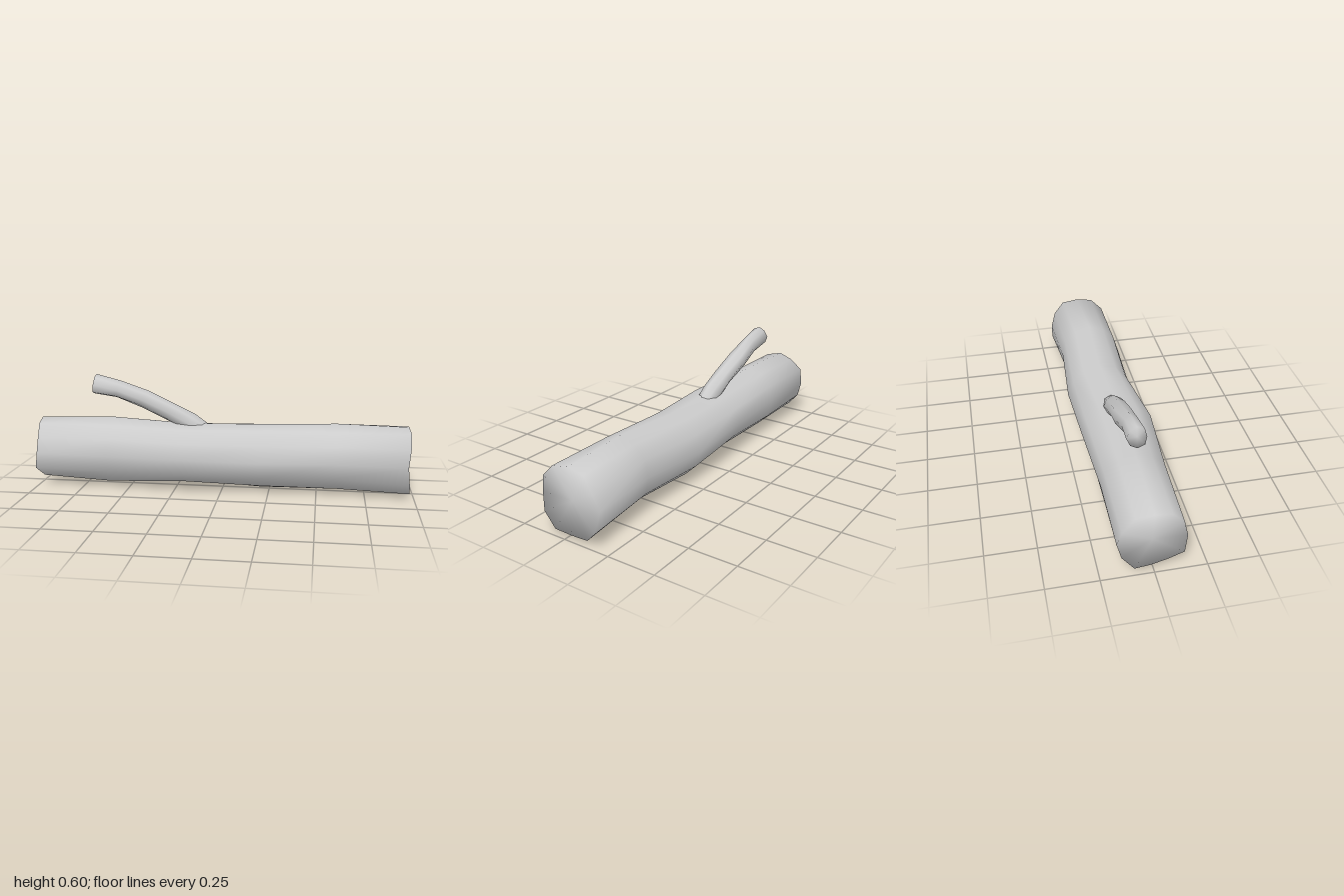
import * as THREE from 'three';

const material = new THREE.MeshStandardMaterial({ color: 0xcccccc });

// Skin a row of rings running towards +x, closed by a fan at each end.
// Ring: x, y, z centre, ry, rz radii, tilt; optional scale[] and shift[] per corner.
function loft(name, rings, sides, endDent, wobble) {
  const positions = [], index = [];
  rings.forEach((r, i) => {
    for (let j = 0; j < sides; j++) {
      const a = (j / sides) * Math.PI * 2;
      const s = r.scale ? r.scale[j] : 1 + wobble * Math.sin(j * 2.4 + i * 1.9);
      const up = Math.cos(a) * r.ry * s;
      const dx = r.shift ? r.shift[j] : 0;
      const t = r.tilt || 0;
      positions.push(r.x + up * Math.sin(t) + dx, r.y + up * Math.cos(t), r.z + Math.sin(a) * r.rz * s);
    }
  });
  for (let i = 0; i < rings.length - 1; i++) {
    for (let j = 0; j < sides; j++) {
      const k = (j + 1) % sides;
      const a = i * sides + j, b = i * sides + k;
      const c = a + sides, d = b + sides;
      index.push(a, b, c, b, d, c);
    }
  }
  // End caps share the rim so that the shading rolls over the edge
  const first = rings[0], last = rings[rings.length - 1];
  const start = rings.length * sides, base = start - sides;
  positions.push(first.x + endDent, first.y, first.z, last.x - endDent, last.y, last.z);
  for (let j = 0; j < sides; j++) {
    const k = (j + 1) % sides;
    index.push(start, k, j, start + 1, base + j, base + k);
  }
  const geometry = new THREE.BufferGeometry();
  geometry.setAttribute('position', new THREE.Float32BufferAttribute(positions, 3));
  geometry.setIndex(index);
  geometry.computeVertexNormals();
  const mesh = new THREE.Mesh(geometry, material);
  mesh.name = name;
  return mesh;
}

export function createModel() {
  const group = new THREE.Group();
  group.name = 'log';

  // Thick trunk lying along x with ragged sawn ends
  const trunk = [
    { x: -0.99, y: 0.19, z: -0.01, ry: 0.165, rz: 0.163,
      scale: [1, 1.02, 1, 0.98, 1.03, 1, 0.97, 1.03, 1, 1, 1.02, 1],
      shift: [-0.01, 0, 0.01, 0.005, -0.01, 0.015, 0.01, -0.01, 0.005, 0.01, -0.01, 0.005] },
    { x: -0.6, y: 0.187, z: -0.005, ry: 0.176, rz: 0.168 },
    { x: -0.2, y: 0.188, z: 0.003, ry: 0.16, rz: 0.19 },
    { x: 0.2, y: 0.175, z: -0.023, ry: 0.172, rz: 0.175 },
    { x: 0.6, y: 0.187, z: -0.007, ry: 0.172, rz: 0.168 },
    { x: 0.97, y: 0.18, z: -0.02, ry: 1, rz: 1,
      scale: [0.172, 0.18, 0.18, 0.175, 0.19, 0.185, 0.167, 0.188, 0.188, 0.168, 0.165, 0.18],
      shift: [0, 0.005, 0, -0.01, 0, 0.01, 0.005, 0.005, 0.03, -0.005, 0.01, 0.005] },
  ];
  group.add(loft('trunk', trunk, 12, 0.012, 0.025));

  // Side branch, from its cut tip down into the trunk
  const branch = [
    { x: -0.70, y: 0.543, z: -0.022, ry: 0.054, rz: 0.048, tilt: 0.18 },
    { x: -0.57, y: 0.516, z: -0.020, ry: 0.047, rz: 0.046, tilt: 0.25 },
    { x: -0.43, y: 0.467, z: -0.028, ry: 0.05, rz: 0.055, tilt: 0.42 },
    { x: -0.29, y: 0.402, z: -0.022, ry: 0.05, rz: 0.05, tilt: 0.5 },
    { x: -0.18, y: 0.347, z: -0.018, ry: 0.05, rz: 0.053, tilt: 0.55 },
    { x: -0.06, y: 0.27, z: -0.015, ry: 0.045, rz: 0.045, tilt: 0.55 },
  ];
  group.add(loft('branch', branch, 8, 0.006, 0.05));

  return group;
}
